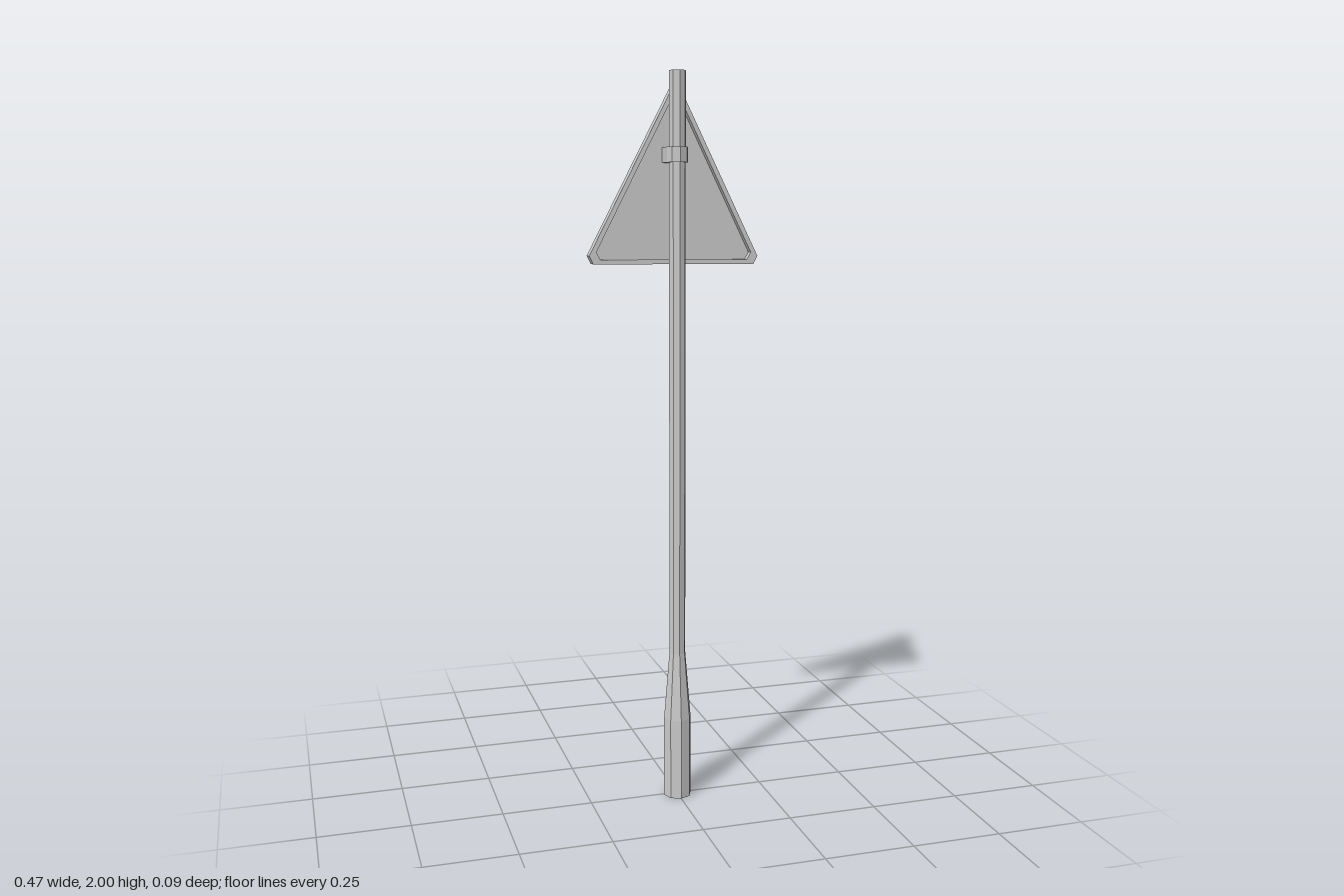
import * as THREE from 'three';

const POLE_Z = 0.006;

// Triangle with clipped corners, shrunk evenly by d; origin at the middle of the base edge
function trianglePoints(d) {
  const k = d * 1.6;
  return [
    [-0.224 + k, d], [0.224 - k, d], [0.235 - k, 0.022 + d * 0.8],
    [0.009, 0.464 - d * 2.2], [-0.009, 0.464 - d * 2.2], [-0.235 + k, 0.022 + d * 0.8],
  ].map(([x, y]) => new THREE.Vector2(x, y));
}

function extrude(shape, depth) {
  return new THREE.ExtrudeGeometry(shape, { depth, bevelEnabled: false, curveSegments: 1 });
}

export function createModel() {
  const group = new THREE.Group();
  const material = new THREE.MeshStandardMaterial({ color: 0xcccccc, flatShading: true });
  const add = (name, geometry, parent = group) => {
    const mesh = new THREE.Mesh(geometry, material);
    mesh.name = name;
    parent.add(mesh);
    return mesh;
  };

  // Eight-sided pole with a thicker, tapering foot
  const profile = [[0, 0], [0.039, 0], [0.039, 0.23], [0.023, 0.42], [0.023, 2], [0, 2]]
    .map(([r, y]) => new THREE.Vector2(r, y));
  add('pole', new THREE.LatheGeometry(profile, 8)).position.z = POLE_Z;

  // Sign: a shallow triangular tray, open towards the pole
  const sign = new THREE.Group();
  sign.name = 'sign';
  sign.position.set(0, 1.498, -0.049);
  sign.rotation.z = -0.01;
  group.add(sign);
  add('signPlate', extrude(new THREE.Shape(trianglePoints(0)), 0.01), sign);
  const rim = new THREE.Shape(trianglePoints(0));
  rim.holes.push(new THREE.Path(trianglePoints(0.012).reverse()));
  add('signRim', extrude(rim, 0.02), sign).position.z = 0.01;

  // Clamp: a band bent round the pole and running back to the plate
  const outline = [];
  for (let i = 0; i <= 4; i++) {
    const a = (i * Math.PI) / 4;
    outline.push(new THREE.Vector2(0.029 * Math.cos(a), -0.029 * Math.sin(a)));
  }
  outline.push(new THREE.Vector2(-0.029, 0.046), new THREE.Vector2(0.029, 0.046));
  const clamp = add('clamp', extrude(new THREE.Shape(outline), 0.04));
  clamp.rotation.x = -Math.PI / 2;
  clamp.position.set(0, 1.765, POLE_Z);

  return group;
}
